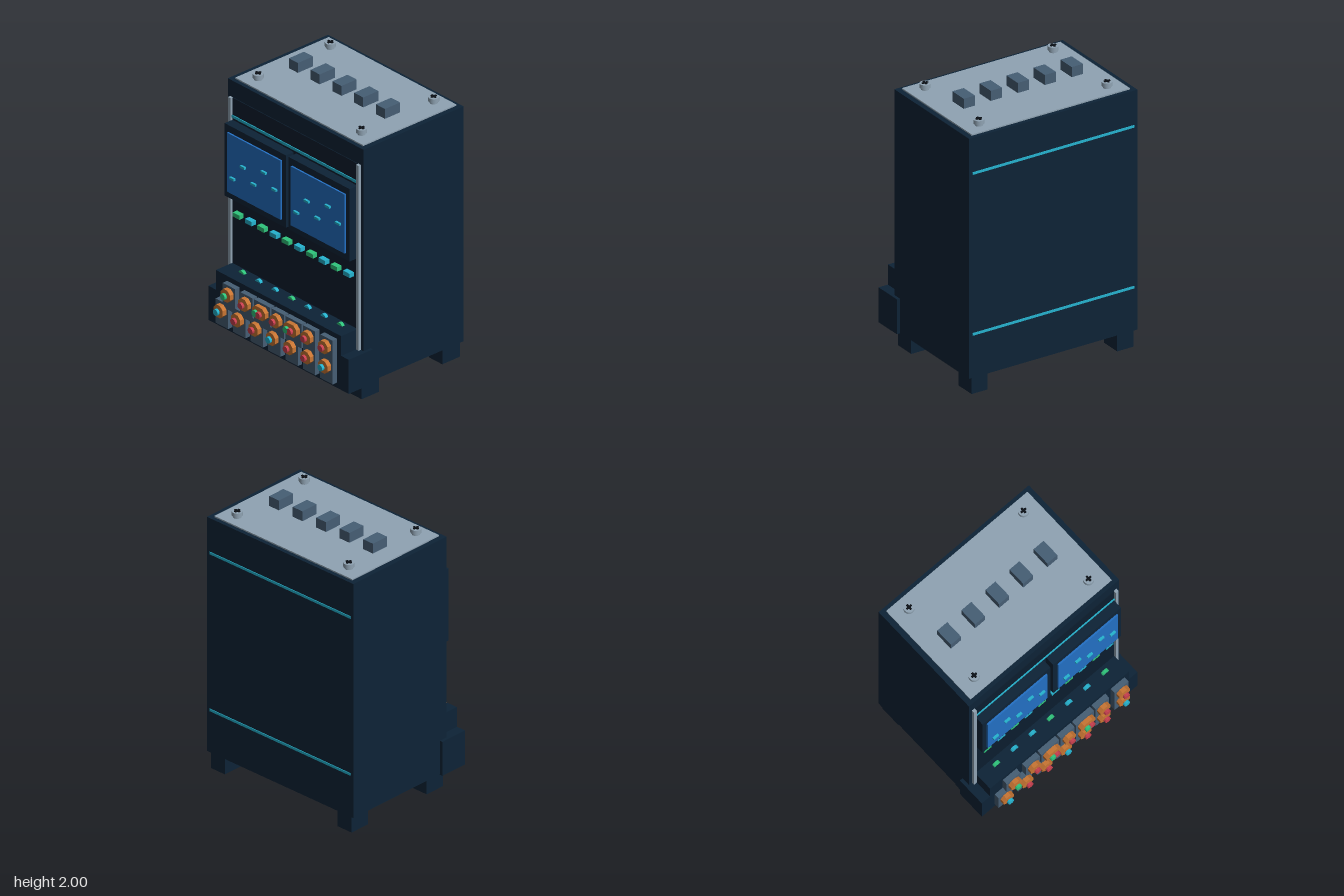
import * as THREE from 'three';

const mat = (name, color) => {
  const m = new THREE.MeshStandardMaterial({ color });
  m.name = name;
  return m;
};

export function createModel() {
  const root = new THREE.Group();
  root.name = 'controlCabinet';

  const navy = mat('navy', 0x0d2336);
  const darkNavy = mat('darkNavy', 0x0b1d2e);
  const steel = mat('steel', 0x8fa3b3);
  const slate = mat('slate', 0x465e74);
  const copper = mat('copper', 0xc87533);
  const blue = mat('screenBlue', 0x2370c4);
  const cyan = mat('cyan', 0x25b3cf);
  const green = mat('green', 0x2fc57c);
  const red = mat('red', 0xc9404f);
  const black = mat('black', 0x0a0f16);

  // Box given by its limits on each axis
  const box = (name, m, x0, x1, y0, y1, z0, z1, parent = root) => {
    const mesh = new THREE.Mesh(new THREE.BoxGeometry(x1 - x0, y1 - y0, z1 - z0), m);
    mesh.position.set((x0 + x1) / 2, (y0 + y1) / 2, (z0 + z1) / 2);
    mesh.name = name;
    parent.add(mesh);
    return mesh;
  };
  // Disc facing the front, between two depths
  const disc = (name, m, r, sides, x, y, z0, z1, parent = root) => {
    const geo = new THREE.CylinderGeometry(r, r, z1 - z0, sides).toNonIndexed();
    geo.rotateY(Math.PI / sides).rotateX(Math.PI / 2);
    geo.computeVertexNormals();
    const mesh = new THREE.Mesh(geo, m);
    mesh.position.set(x, y, (z0 + z1) / 2);
    mesh.name = name;
    parent.add(mesh);
  };

  // Cabinet, lid and feet
  box('cabinet', navy, -0.676, 0.676, 0.125, 1.915, -0.58, 0.325);
  box('topPlate', steel, -0.636, 0.636, 1.915, 1.925, -0.55, 0.295);
  box('frontPanel', darkNavy, -0.625, 0.625, 0.38, 1.79, 0.325, 0.331);
  for (const s of [-1, 1]) {
    const a = Math.min(s * 0.52, s * 0.65), b = Math.max(s * 0.52, s * 0.65);
    box('frontFoot', navy, a, b, 0, 0.125, 0.16, 0.318);
    box('backFoot', navy, a, b, 0, 0.125, -0.57, -0.41);
    box('frontRail', steel, s * 0.638 - 0.0125, s * 0.638 + 0.0125, 0.3, 1.79, 0.325, 0.347);
  }

  // Accent stripes
  box('frontStripe', cyan, -0.625, 0.625, 1.64, 1.66, 0.331, 0.337);
  for (const y of [1.65, 0.45]) {
    box('backStripe', cyan, -0.65, 0.65, y - 0.009, y + 0.009, -0.585, -0.58);
  }

  // Ventilation blocks on the lid
  for (let i = 0; i < 5; i++) {
    const x = -0.448 + i * 0.217;
    box('topBlock', slate, x - 0.045, x + 0.045, 1.925, 2, -0.197, -0.06);
  }

  // Cross-head bolts at the lid corners
  for (const x of [-0.515, 0.515]) for (const z of [-0.455, 0.197]) {
    const bolt = new THREE.Group();
    bolt.name = 'lidBolt';
    bolt.position.set(x, 1.925, z);
    const shank = new THREE.Mesh(new THREE.CylinderGeometry(0.028, 0.028, 0.02, 16), steel);
    shank.position.y = 0.01;
    shank.name = 'boltShank';
    const head = new THREE.Mesh(new THREE.CylinderGeometry(0.038, 0.038, 0.03, 16), steel);
    head.position.y = 0.03;
    head.name = 'boltHead';
    bolt.add(shank, head);
    box('boltSlot', black, -0.022, 0.022, 0.045, 0.052, -0.007, 0.007, bolt);
    box('boltSlot', black, -0.007, 0.007, 0.045, 0.052, -0.022, 0.022, bolt);
    root.add(bolt);
  }

  // Twin screens with small readout marks
  const marks = [[-0.205, 1.245], [-0.1, 1.375], [0.005, 1.288], [0.108, 1.42], [0.212, 1.332]];
  for (const cx of [-0.318, 0.318]) {
    box('screenBezel', navy, cx - 0.305, cx + 0.305, 1.07, 1.622, 0.331, 0.402);
    box('screen', blue, cx - 0.268, cx + 0.268, 1.12, 1.57, 0.402, 0.415);
    for (const [dx, y] of marks) {
      box('screenMark', cyan, cx + dx - 0.023, cx + dx + 0.023, y - 0.008, y + 0.008, 0.415, 0.432);
    }
  }

  // Row of indicator buttons
  for (let i = 0; i < 10; i++) {
    const x = -0.545 + i * 0.122;
    box('indicator', i % 2 ? cyan : green, x - 0.033, x + 0.033, 0.917, 0.949, 0.331, 0.37);
  }

  // Stepped console at the base
  box('consoleBase', navy, -0.7, 0.7, 0.12, 0.38, 0.26, 0.48);
  box('consoleTop', navy, -0.625, 0.625, 0.38, 0.53, 0.26, 0.48);
  for (let i = 0; i < 7; i++) {
    disc('consoleLight', i % 3 ? cyan : green, 0.03, 12, -0.475 + i * 0.163, 0.519, 0.363, 0.387);
  }

  // Sockets: backing plate, copper collar and coloured tip
  const socket = (x, y, tip) => {
    const g = new THREE.Group();
    g.name = 'socket';
    g.position.set(x, y, 0);
    box('socketPlate', slate, -0.062, 0.062, -0.122, 0.063, 0.48, 0.52, g);
    disc('socketCollar', copper, 0.05, 8, 0, 0, 0.52, 0.553, g);
    disc('socketNeck', copper, 0.012, 8, 0, 0, 0.553, 0.562, g);
    disc('socketTip', tip, 0.024, 12, 0, 0, 0.56, 0.58, g);
    root.add(g);
  };
  for (let i = 0; i < 7; i++) socket(-0.522 + i * 0.174, 0.282, i % 3 ? red : cyan);
  for (const start of [-0.45, -0.138, 0.174]) {
    for (let i = 0; i < 3; i++) socket(start + i * 0.174, 0.43, i ? red : green);
  }

  return root;
}
